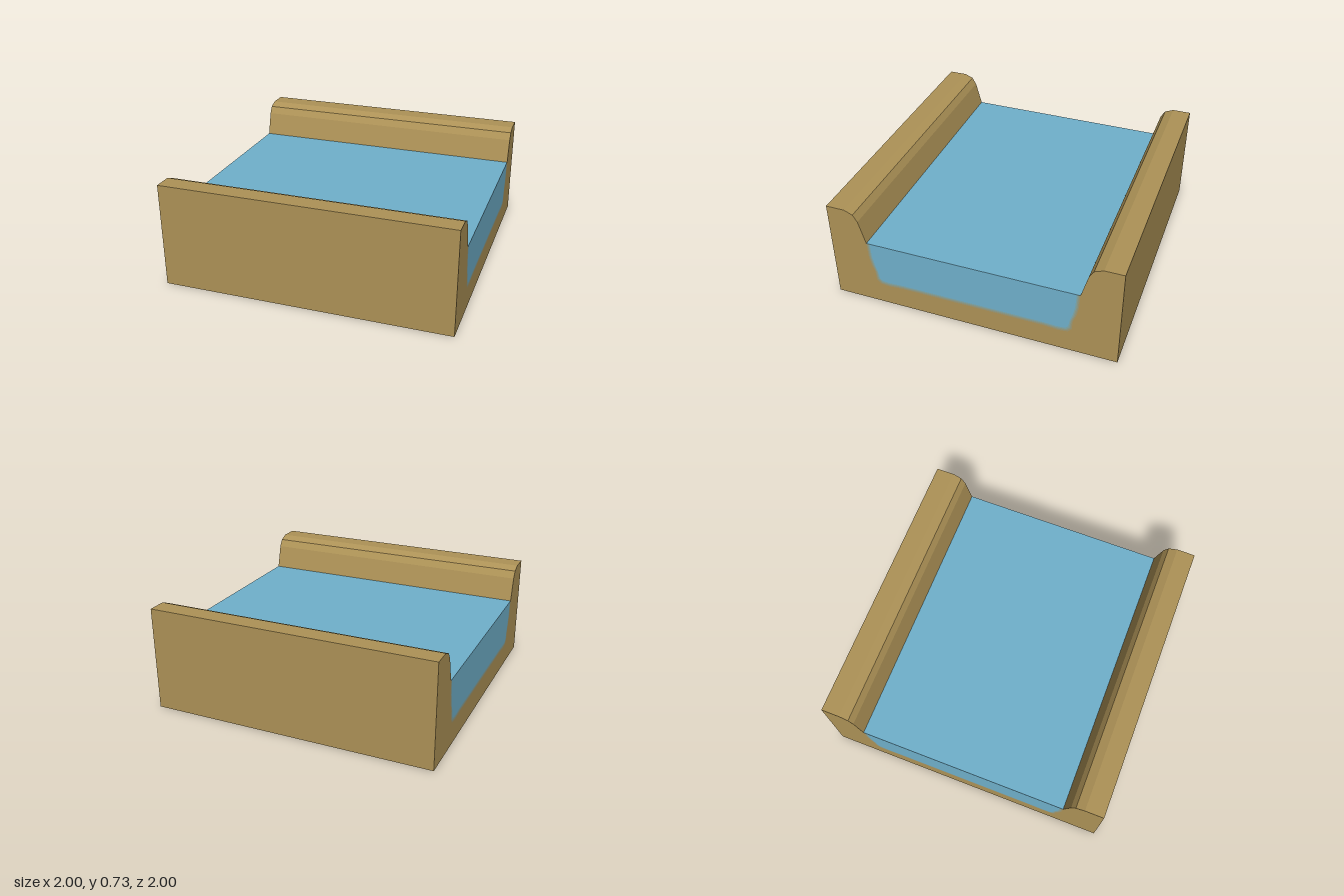
import * as THREE from 'three';

const mat = (name, color) => {
  const m = new THREE.MeshStandardMaterial({ color, side: THREE.DoubleSide });
  m.name = name;
  return m;
};

// Sheet running along x, swept over a [z, y] profile listed from front to back
function sweep(profile) {
  const p = [];
  for (let i = 0; i < profile.length - 1; i++) {
    const [z0, y0] = profile[i], [z1, y1] = profile[i + 1];
    p.push(-1, y0, z0, 1, y0, z0, 1, y1, z1, -1, y0, z0, 1, y1, z1, -1, y1, z1);
  }
  const g = new THREE.BufferGeometry();
  g.setAttribute('position', new THREE.Float32BufferAttribute(p, 3));
  g.computeVertexNormals();
  return g;
}

const mirror = (half) => half.map(([z, y]) => [-z, y]).reverse();

export function createModel() {
  const group = new THREE.Group();
  const earth = mat('earth', 0xae9357);
  const water = mat('water', 0x70b1cc);
  const blends = [mat('siltOuter', 0xa09871), mat('siltMiddle', 0x92a08c), mat('siltInner', 0x81a9ac)];

  const add = (name, geometry, material) => {
    const mesh = new THREE.Mesh(geometry, material);
    mesh.name = name;
    group.add(mesh);
  };

  // Banks: outer wall, top, rounded shoulder and slope to the waterline
  const bank = [[1, 0], [1, 0.73], [0.87, 0.73], [0.81, 0.705], [0.78, 0.655], [0.735, 0.49]];
  add('frontBank', sweep(bank), earth);
  add('backBank', sweep(mirror(bank)), earth);

  // Water surface; the underside of the block is open
  add('waterSurface', sweep([[0.735, 0.49], [-0.735, 0.49]]), water);

  // Channel outline on the cut ends, from the soft outer edge to the water core
  const outer = [[0.735, 0.49], [0.73, 0.38], [0.715, 0.31], [0.695, 0.26], [0.69, 0.19],
    [0.665, 0.16], [0.6, 0.152], [0.5, 0.16]];
  const inner = [[0.712, 0.49], [0.705, 0.38], [0.69, 0.31], [0.675, 0.26], [0.665, 0.205],
    [0.645, 0.187], [0.59, 0.183], [0.5, 0.188]];
  const outline = (t) => {
    const half = outer.map(([z, y], i) => [z + (inner[i][0] - z) * t, y + (inner[i][1] - y) * t]);
    return [...half, ...mirror(half)];
  };

  for (const side of [1, -1]) {
    const label = side > 0 ? 'left' : 'right';
    const face = (name, points, material) => {
      const shape = new THREE.Shape(points.map(([z, y]) => new THREE.Vector2(z, y)));
      const g = new THREE.ShapeGeometry(shape);
      g.rotateY(side * Math.PI / 2);
      g.translate(side, 0, 0);
      add(label + name, g, material);
    };
    // Earth section around the channel
    face('EndEarth', [...bank.slice(0, -1), ...outline(0), ...mirror(bank).slice(1)], earth);
    // Soft bands between earth and water
    blends.forEach((m, i) =>
      face('EndSilt' + (i + 1), [...outline(i / 3), ...outline((i + 1) / 3).reverse()], m));
    // Water section
    face('EndWater', outline(1), water);
  }
  return group;
}
